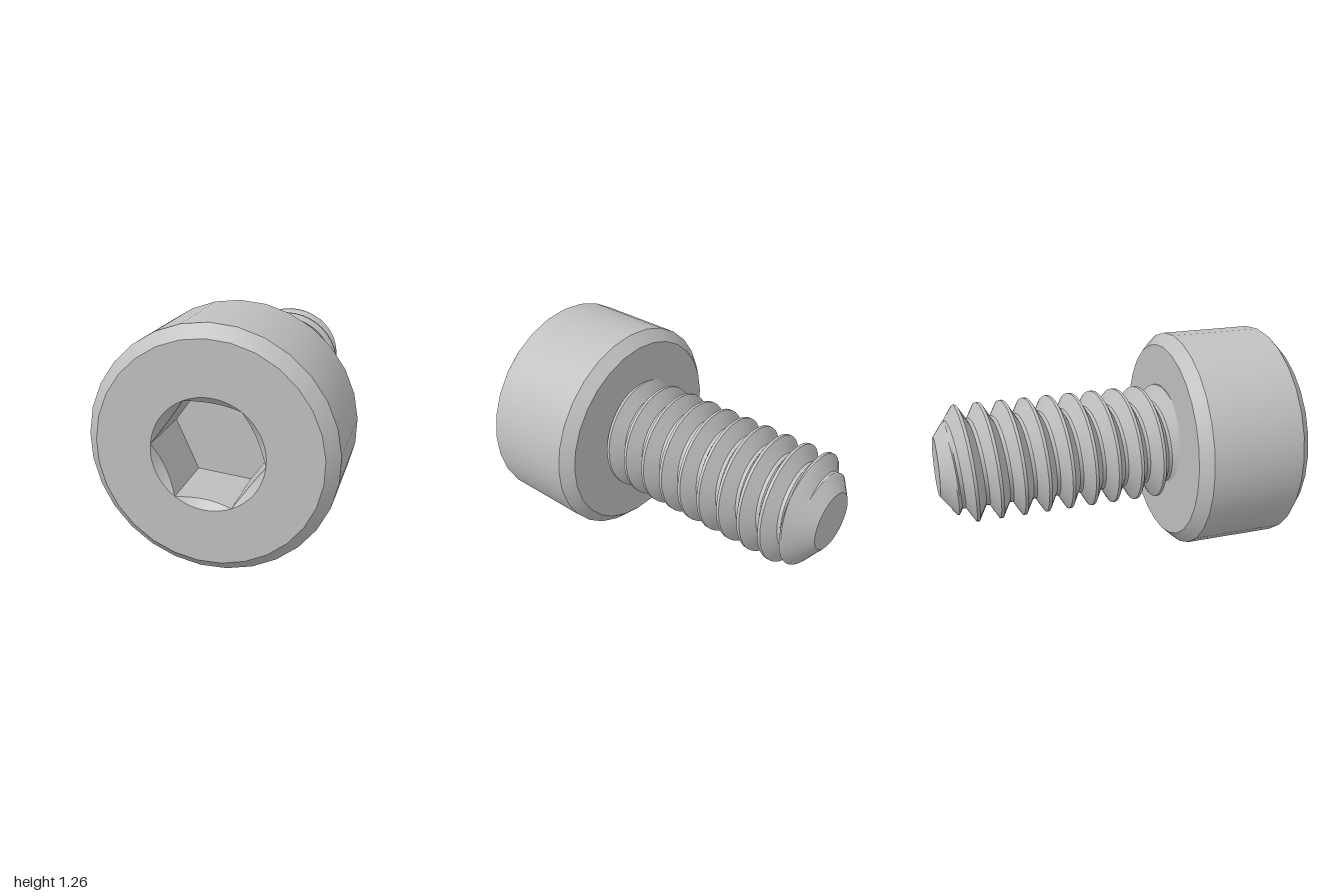
import * as THREE from 'three';
import { toCreasedNormals } from 'three/addons/utils/BufferGeometryUtils.js';

const HEAD_R = 0.633, CHAMFER = 0.063, HEAD_BACK = 0.335;
const HEX_R = 0.289, HEX_TURN = -0.11, SOCKET_FLOOR = 0.635;
const PITCH = 0.1332, CREST_R = 0.333, ROOT_R = 0.25, TIP_R = 0.165;

// Surface from a grid of points: i runs around the axis, j along it.
function gridSurface(ni, nj, point) {
  const pos = [], index = [];
  for (let j = 0; j <= nj; j++) {
    for (let i = 0; i <= ni; i++) pos.push(...point(i, j));
  }
  for (let j = 0; j < nj; j++) {
    for (let i = 0; i < ni; i++) {
      const a = j * (ni + 1) + i, b = a + 1, c = a + ni + 1, d = c + 1;
      index.push(a, b, c, b, d, c);
    }
  }
  const g = new THREE.BufferGeometry();
  g.setAttribute('position', new THREE.Float32BufferAttribute(pos, 3));
  g.setIndex(index);
  return toCreasedNormals(g, 0.5);
}

// Chamfered head, 29 sided, with a vertex at the top.
function headShell() {
  const profile = [
    [0.2, HEAD_BACK], [HEAD_R - CHAMFER, HEAD_BACK], [HEAD_R, HEAD_BACK + CHAMFER],
    [HEAD_R, 1 - CHAMFER], [HEAD_R - CHAMFER, 1],
  ].map(([r, y]) => new THREE.Vector2(r, y));
  const g = new THREE.LatheGeometry(profile, 29, Math.PI).rotateX(Math.PI / 2);
  return toCreasedNormals(g, 0.5);
}

// Flat front of the head, with the round socket opening.
function headFace() {
  const circle = (r, n, start) => Array.from({ length: n }, (_, i) => {
    const a = start + (i / n) * Math.PI * 2;
    return new THREE.Vector2(r * Math.cos(a), r * Math.sin(a));
  });
  const shape = new THREE.Shape(circle(HEAD_R - CHAMFER, 29, Math.PI / 2));
  shape.holes.push(new THREE.Path(circle(HEX_R, 48, HEX_TURN)));
  return new THREE.ShapeGeometry(shape).translate(0, 0, 1);
}

// Hexagonal socket: conical lead-in, six walls and a flat floor.
function socketSurface() {
  const side = Math.PI / 3;
  return gridSurface(48, 3, (i, j) => {
    const a = (i / 48) * Math.PI * 2;
    const hex = HEX_R * Math.cos(side / 2) / Math.cos((a % side) - side / 2);
    const r = [HEX_R, hex, hex, 0][j];
    const z = [1, 1 - (HEX_R - hex), SOCKET_FLOOR, SOCKET_FLOOR][j];
    return [r * Math.cos(a + HEX_TURN), r * Math.sin(a + HEX_TURN), z];
  });
}

// Right-hand thread, trimmed by the cone of the tip.
function threadSurface() {
  const around = 40, fine = 5, turns = 13, top = 0.2 + 2 * PITCH;
  const crest = PITCH / 16, root = PITCH / 2 - 0.01;
  const steps = [[-crest, CREST_R], [crest, CREST_R], [root, ROOT_R],
    [PITCH - root, ROOT_R], [PITCH - crest, CREST_R]];
  return gridSurface(around, turns * 4 * fine, (i, j) => {
    const a = (i / around) * Math.PI * 2;
    const turn = Math.floor(j / (4 * fine)), k = j % (4 * fine);
    const s = Math.floor(k / fine), t = (k % fine) / fine;
    const along = THREE.MathUtils.lerp(steps[s][0], steps[s + 1][0], t);
    const radius = THREE.MathUtils.lerp(steps[s][1], steps[s + 1][1], t);
    const z = Math.max(-1, top - along - PITCH * (turn + i / around));
    const r = Math.min(radius, TIP_R + 1.35 * (z + 1));
    return [r * Math.sin(a), r * Math.cos(a), z];
  });
}

export function createModel() {
  const steel = new THREE.MeshStandardMaterial({ color: 0xc0c0c0 });
  steel.name = 'steel';
  const screw = new THREE.Group();
  screw.name = 'socketHeadScrew';
  const add = (name, geometry) => {
    const mesh = new THREE.Mesh(geometry, steel);
    mesh.name = name;
    mesh.position.y = 0.63;
    screw.add(mesh);
  };

  add('head', headShell());
  add('headFace', headFace());
  add('hexSocket', socketSurface());
  add('threadedShank', threadSurface());
  add('tipFace', new THREE.CircleGeometry(TIP_R, 40).rotateY(Math.PI).translate(0, 0, -1));
  return screw;
}
